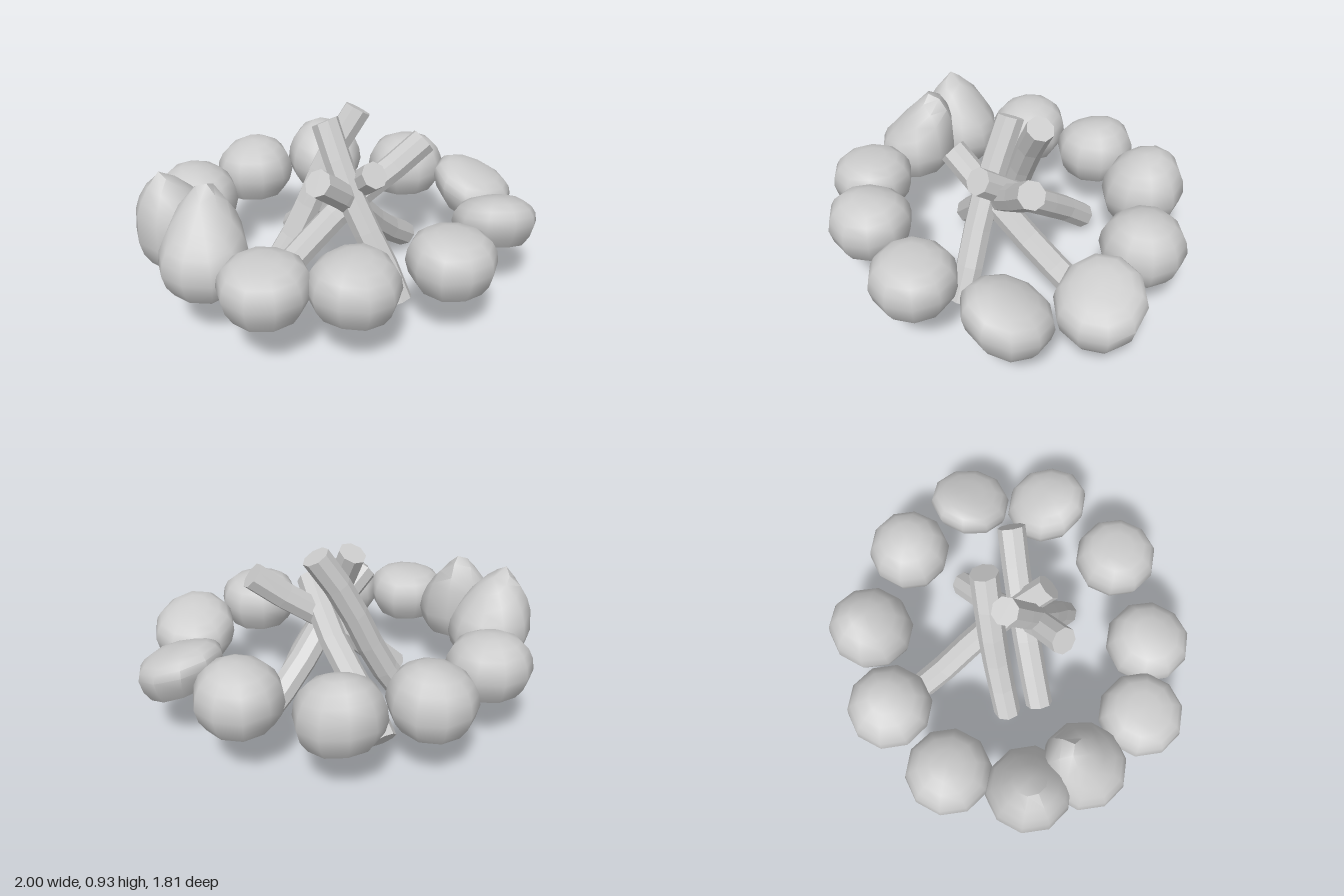
import * as THREE from 'three';
import { mergeVertices, toCreasedNormals } from 'three/addons/utils/BufferGeometryUtils.js';

const stoneMaterial = new THREE.MeshStandardMaterial({ color: 0xcccccc });
const logMaterial = new THREE.MeshStandardMaterial({ color: 0xcccccc, flatShading: true });

// Ten-sided boulder outline: radius, height about its middle
const stoneProfile = [
  [0, -0.1], [0.09, -0.115], [0.16, -0.13], [0.195, -0.075], [0.212, -0.01],
  [0.203, 0.045], [0.18, 0.088], [0.14, 0.122], [0.08, 0.143], [0, 0.15],
].map(([r, y]) => new THREE.Vector2(r, y));

// Position, top height, slopes along x and z, and an optional peak [x, z, height]
const stones = [
  { x: -0.30, z: -0.645, top: 0.56, slopeZ: 0.04, peak: [0.02, -0.1, 0.03] },
  { x: 0.13, z: -0.70, top: 0.58, slopeZ: -0.08, peak: [0, -0.06, 0.03] },
  { x: 0.545, z: -0.46, top: 0.57 },
  { x: 0.795, z: -0.10, top: 0.50, slopeX: -0.2, slopeZ: -0.2 },
  { x: 0.715, z: 0.31, top: 0.52, slopeX: -0.05, slopeZ: 0.24 },
  { x: 0.34, z: 0.62, top: 0.55 },
  { x: -0.15, z: 0.69, top: 0.55 },
  { x: -0.52, z: 0.58, top: 0.54 },
  { x: -0.73, z: 0.26, top: 0.57, slopeX: 0.08, slopeZ: -0.1, peak: [0.04, -0.1, 0.18] },
  { x: -0.80, z: -0.025, top: 0.58, slopeX: -0.08, peak: [-0.07, 0.03, 0.17] },
  { x: -0.66, z: -0.395, top: 0.56, slopeZ: -0.05 },
];

// Boulder: the outline stays round in plan, only heights are pushed about
function makeStone({ x: cx, z: cz, top, slopeX = 0, slopeZ = 0, peak = [0, 0, 0] }, i) {
  let geo = new THREE.LatheGeometry(stoneProfile, 10);
  geo.deleteAttribute('uv');
  geo.deleteAttribute('normal');
  geo = mergeVertices(geo, 1e-4);
  const p = geo.attributes.position;
  const stretch = (top - 0.4) / 0.15;
  for (let k = 0; k < p.count; k++) {
    const x = p.getX(k), y = p.getY(k), z = p.getZ(k);
    const dent = 0.01 * Math.sin(13 * x + 2.1 * i) * Math.cos(11 * z + 1.3 * i);
    const rise = peak[2] * Math.max(0, 1 - Math.hypot(x - peak[0], z - peak[1]) / 0.22);
    p.setY(k, (y > 0 ? y * stretch + rise : y) + slopeX * x + slopeZ * z + dent);
  }
  const mesh = new THREE.Mesh(toCreasedNormals(geo, 0.85), stoneMaterial);
  mesh.name = 'stone' + (i + 1);
  mesh.position.set(cx, 0.4, cz);
  return mesh;
}

// Lower end and upper end of each log's axis
const logs = [
  [[-0.33, 0.10, -0.06], [0.13, 0.90, -0.10]],
  [[0.19, 0.03, 0.35], [-0.075, 0.875, -0.03]],
  [[-0.34, 0.17, 0.11], [0.41, 0.77, 0.07]],
  [[0.44, 0.09, -0.2], [-0.18, 0.68, 0.235]],
  [[-0.11, 0.095, -0.49], [0.12, 0.67, 0.21]],
];

// Slightly crooked eight-sided log
function makeLog([low, high], i) {
  const a = new THREE.Vector3(...low), b = new THREE.Vector3(...high);
  const axis = b.clone().sub(a), length = axis.length();
  const geo = new THREE.CylinderGeometry(0.07, 0.07, length, 8, 5);
  const p = geo.attributes.position;
  for (let k = 0; k < p.count; k++) {
    const t = p.getY(k) / length + 0.5;
    p.setX(k, p.getX(k) + 0.014 * Math.sin(Math.PI * 2 * t + i));
    p.setZ(k, p.getZ(k) + 0.012 * Math.sin(Math.PI * t) * (i % 2 ? 1 : -1));
  }
  const mesh = new THREE.Mesh(geo, logMaterial);
  mesh.name = 'log' + (i + 1);
  mesh.quaternion.setFromUnitVectors(new THREE.Vector3(0, 1, 0), axis.normalize());
  mesh.position.copy(a).add(b).multiplyScalar(0.5);
  return mesh;
}

export function createModel() {
  const model = new THREE.Group();
  model.name = 'campfire';
  const ring = new THREE.Group();
  ring.name = 'stoneRing';
  stones.forEach((s, i) => ring.add(makeStone(s, i)));
  const pile = new THREE.Group();
  pile.name = 'logPile';
  logs.forEach((l, i) => pile.add(makeLog(l, i)));
  model.add(ring, pile);
  return model;
}
